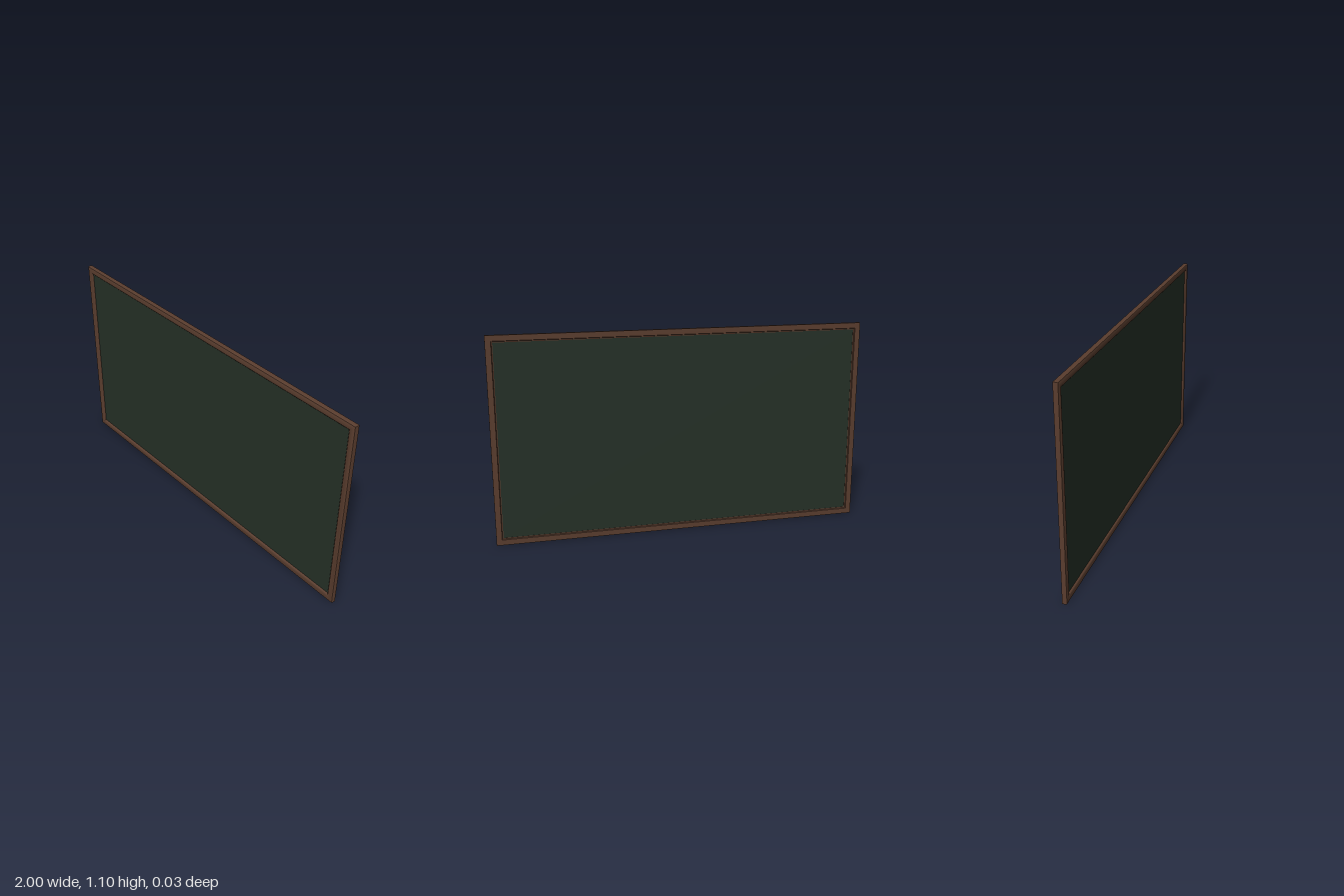
import * as THREE from 'three';
import { toCreasedNormals } from 'three/addons/utils/BufferGeometryUtils.js';

const W = 2, H = 1.1;

// Moulding cross-section: [inset from the outer edge, z], closed loop
const PROFILE = [
  [0, -0.0125], [0, 0.006], [0.002, 0.0105], [0.006, 0.0125],
  [0.024, 0.0125], [0.031, 0.0105], [0.036, 0.006], [0.037, 0.003],
  [0.037, -0.006], [0.032, -0.007], [0.029, -0.0125],
];

// Sweeps the profile round the rectangle with mitred corners
function mitredFrame() {
  const corners = [[-1, -1], [1, -1], [1, 1], [-1, 1]];
  const point = (c, [d, z]) => [c[0] * (W / 2 - d), H / 2 + c[1] * (H / 2 - d), z];
  const pos = [];
  corners.forEach((a, i) => {
    const b = corners[(i + 1) % 4];
    PROFILE.forEach((p, j) => {
      const q = PROFILE[(j + 1) % PROFILE.length];
      const [ap, bp, bq, aq] = [point(a, p), point(b, p), point(b, q), point(a, q)];
      pos.push(...ap, ...bp, ...bq, ...ap, ...bq, ...aq);
    });
  });
  const geo = new THREE.BufferGeometry();
  geo.setAttribute('position', new THREE.Float32BufferAttribute(pos, 3));
  return toCreasedNormals(geo, 0.6);
}

export function createModel() {
  const wood = new THREE.MeshStandardMaterial({ color: 0x5a3d2e });
  wood.name = 'brown wood';
  const slate = new THREE.MeshStandardMaterial({ color: 0x253027 });
  slate.name = 'dark green slate';

  const group = new THREE.Group();
  group.name = 'chalkboard';

  // Wooden border
  const frame = new THREE.Mesh(mitredFrame(), wood);
  frame.name = 'frame';

  // Writing surface, recessed in the frame on both sides
  const board = new THREE.Mesh(new THREE.BoxGeometry(W - 0.07, H - 0.07, 0.007), slate);
  board.name = 'board';
  board.position.set(0, H / 2, -0.001);

  group.add(frame, board);
  return group;
}
